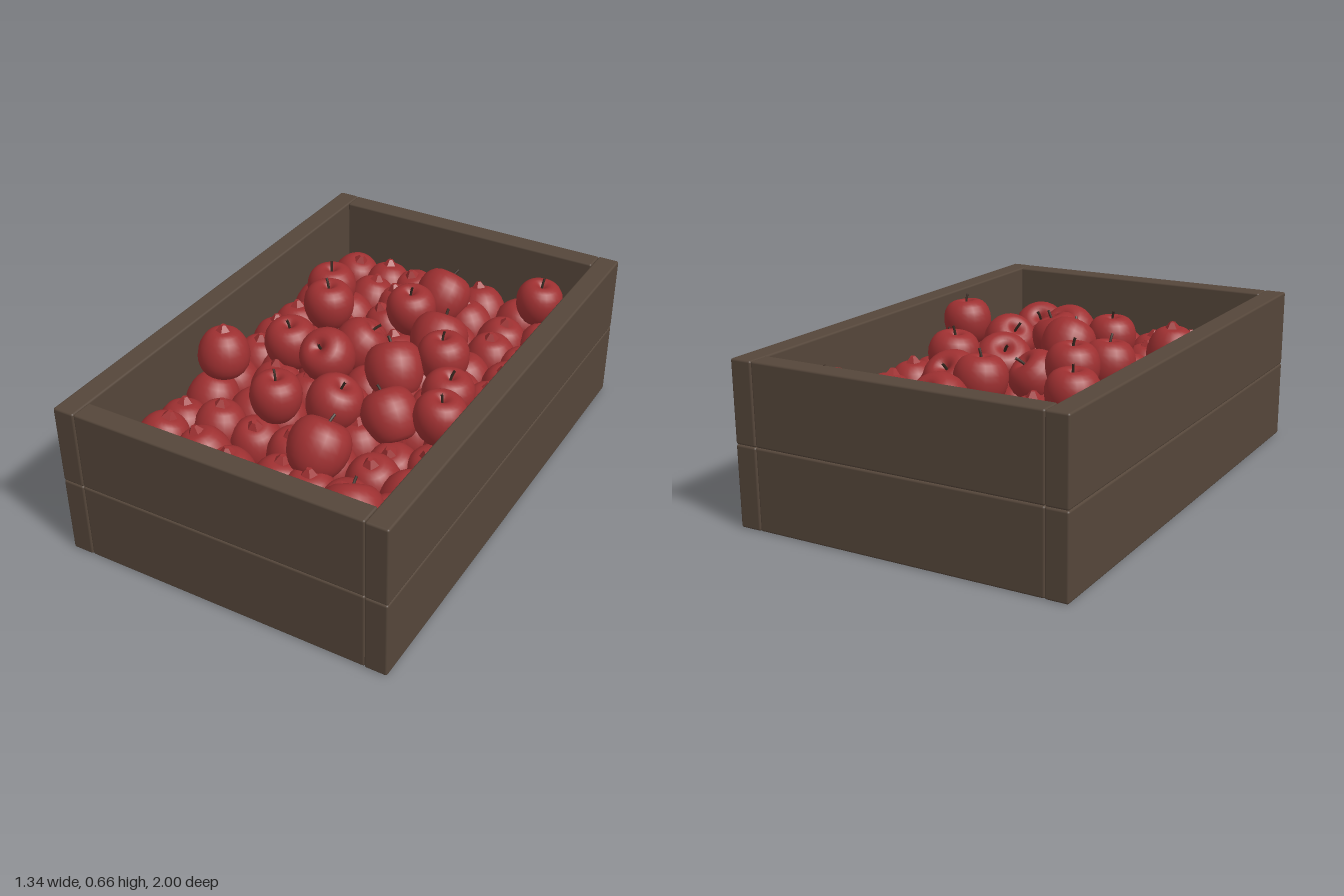
import * as THREE from 'three';
import { RoundedBoxGeometry } from 'three/addons/geometries/RoundedBoxGeometry.js';

// Loose apples on top: x, y, z, radius, and sideways lean of the stem axis (x, z)
const LOOSE = [
  [0.42, 0.48, -0.77, 0.097, 0.1, 0.0], [0.03, 0.46, -0.64, 0.115, 0.2, -0.9],
  [-0.38, 0.5, -0.42, 0.103, 0, 0], [0.0, 0.5, -0.42, 0.103, 0, 0.1],
  [0.17, 0.45, -0.33, 0.117, 0, -0.8], [-0.28, 0.54, -0.23, 0.103, 0, 0],
  [-0.09, 0.45, -0.14, 0.108, 0.6, -0.6], [0.28, 0.5, -0.16, 0.103, -0.1, 0],
  [0.13, 0.46, -0.04, 0.117, -0.5, -0.6], [0.38, 0.45, 0.0, 0.103, 0.1, 0],
  [-0.3, 0.49, 0.03, 0.106, 0, 0.1], [-0.09, 0.53, 0.09, 0.108, -0.1, 0.8],
  [0.27, 0.47, 0.25, 0.108, -0.8, -0.5], [0.47, 0.53, 0.25, 0.1, 0.1, 0],
  [0.06, 0.49, 0.31, 0.108, 0.4, -0.1], [-0.14, 0.5, 0.39, 0.1, 0, 0],
  [0.13, 0.455, 0.54, 0.117, 0.1, -0.8], [0.39, 0.4, 0.75, 0.117, -0.4, -0.8],
];

function seeded(seed) {
  return () => (seed = (seed * 16807) % 2147483647) / 2147483647;
}

export function createModel() {
  const wood = new THREE.MeshStandardMaterial({ color: 0x55463a });
  wood.name = 'brown wood';
  const red = new THREE.MeshStandardMaterial({ color: 0x9e3031 });
  red.name = 'apple red';
  const stemBrown = new THREE.MeshStandardMaterial({ color: 0x3a2a22 });
  stemBrown.name = 'stem brown';

  const model = new THREE.Group();
  model.name = 'appleCrate';

  // Wooden crate
  const crate = new THREE.Group();
  crate.name = 'crate';
  model.add(crate);
  const plank = (name, w, h, d, x, y, z) => {
    const mesh = new THREE.Mesh(new RoundedBoxGeometry(w, h, d, 2, 0.008), wood);
    mesh.name = name;
    mesh.position.set(x, y, z);
    crate.add(mesh);
  };
  for (const y of [0.162, 0.48]) {
    for (const s of [-1, 1]) {
      plank('sidePlank', 0.088, 0.317, 2, s * 0.626, y, 0);
      plank('endPlank', 1.164, 0.317, 0.088, 0, y, s * 0.954);
    }
  }
  for (let i = 0; i < 5; i++) {
    plank('floorPlank', 0.232, 0.05, 1.82, (i - 2) * 0.2328, 0.029, 0);
  }

  // Apple parts at unit radius
  const curve = new THREE.SplineCurve([
    [0, -0.84], [0.28, -0.9], [0.6, -0.79], [0.88, -0.4], [1, 0.1],
    [0.93, 0.55], [0.7, 0.86], [0.4, 0.96], [0.18, 0.86], [0, 0.68],
  ].map(([x, y]) => new THREE.Vector2(x, y)));
  const profile = curve.getPoints(18);
  profile.forEach((p) => { p.x = Math.max(0, p.x); });
  const bodyGeo = new THREE.LatheGeometry(profile, 22);
  const stemPath = new THREE.QuadraticBezierCurve3(
    new THREE.Vector3(0, 0.62, 0), new THREE.Vector3(0, 0.95, 0), new THREE.Vector3(0.12, 1.2, 0.03));
  const stemGeo = new THREE.TubeGeometry(stemPath, 5, 0.05, 6);
  const calyxGeo = new THREE.CylinderGeometry(0.38, 0.1, 0.34, 5).toNonIndexed();
  calyxGeo.computeVertexNormals();
  calyxGeo.translate(0, -0.96, 0);

  const up = new THREE.Vector3(0, 1, 0);
  const apple = (name, x, y, z, r, axis, spin, hasStem) => {
    const g = new THREE.Group();
    g.name = name;
    const add = (part, geo, mat) => {
      const m = new THREE.Mesh(geo, mat);
      m.name = part;
      g.add(m);
    };
    add('appleBody', bodyGeo, red);
    add('calyx', calyxGeo, red);
    if (hasStem) add('stem', stemGeo, stemBrown);
    g.quaternion.setFromUnitVectors(up, axis.normalize());
    g.rotateY(spin);
    g.position.set(x, y, z);
    g.scale.setScalar(r);
    model.add(g);
  };

  // Packed layer, lying upside down with the calyx showing
  const rand = seeded(71);
  const jitter = (a) => (rand() - 0.5) * 2 * a;
  for (let i = 0; i < 7; i++) {
    for (let j = 0; j < 11; j++) {
      const x = (i - 3) * 0.162 + (i % 6 ? jitter(0.025) : 0);
      const z = (j - 5) * 0.163 + (j % 10 ? jitter(0.025) : 0);
      const axis = new THREE.Vector3(jitter(0.3), -1, jitter(0.3));
      apple('packedApple', x, 0.335 + jitter(0.02), z, 0.108, axis, rand() * 6, false);
    }
  }

  // Loose apples heaped on top
  for (const [x, y, z, r, dx, dz] of LOOSE) {
    apple('looseApple', x, y, z, r, new THREE.Vector3(dx, 1, dz), rand() * 6, true);
  }
  apple('upturnedApple', -0.47, 0.525, 0.25, 0.103, new THREE.Vector3(0, -1, 0.05), 0.3, true);

  return model;
}
